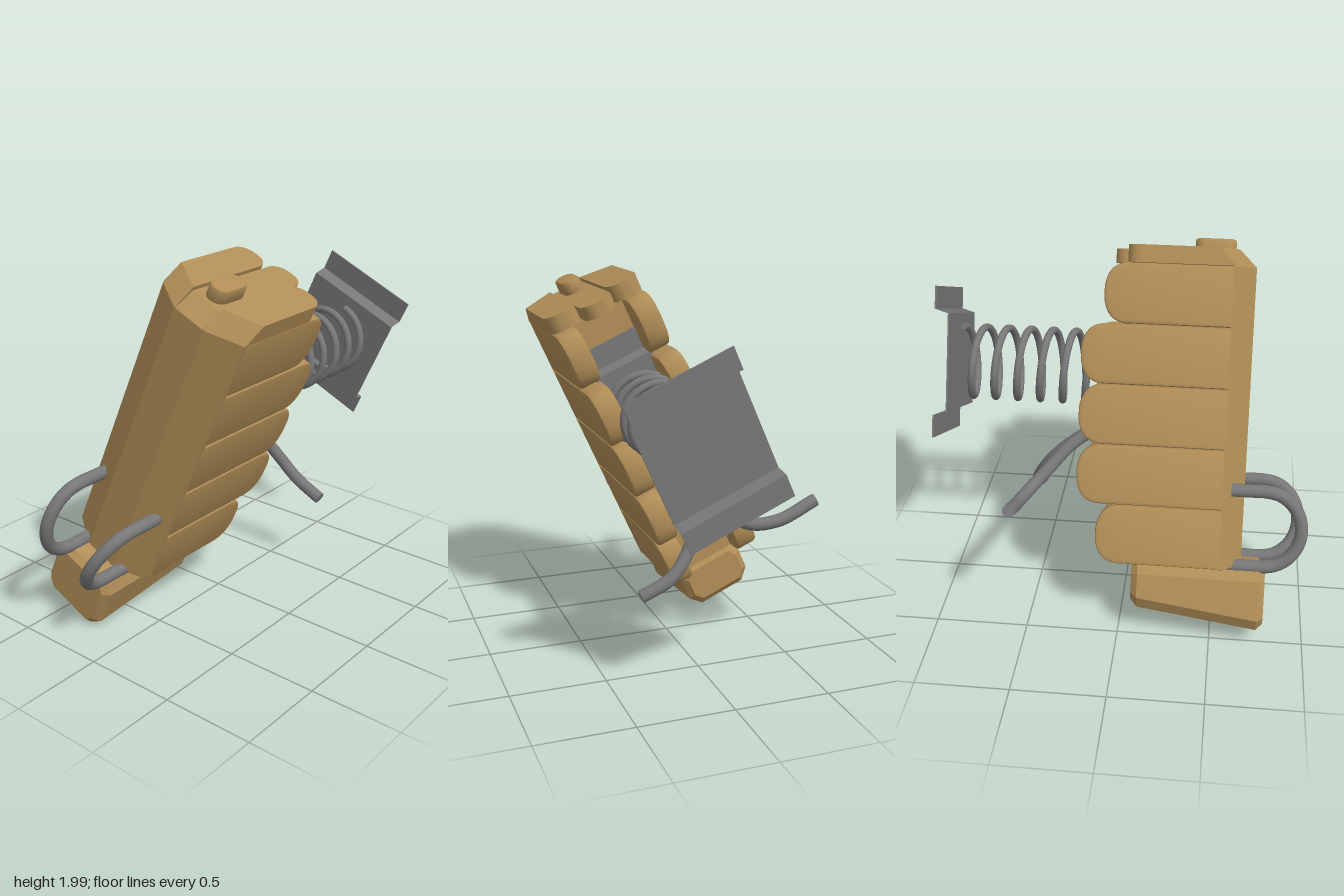
import * as THREE from 'three';
import { toCreasedNormals } from 'three/addons/utils/BufferGeometryUtils.js';

const TAN = new THREE.MeshStandardMaterial({ color: 0xb08d57 });
const STEEL = new THREE.MeshStandardMaterial({ color: 0x777777, side: THREE.DoubleSide });
const V = (x, y, z) => new THREE.Vector3(x, y, z);

function add(parent, name, geometry, material) {
  const mesh = new THREE.Mesh(geometry, material);
  mesh.name = name;
  parent.add(mesh);
  return mesh;
}

function polygon(points) {
  return new THREE.Shape(points.map(([x, y]) => new THREE.Vector2(x, y)));
}

// Extrudes a shape, with an inset bevel that keeps the outline size
function extrude(shape, depth, bevel = 0, segments = 2) {
  return new THREE.ExtrudeGeometry(shape, {
    depth: depth - 2 * bevel, bevelEnabled: bevel > 0, bevelSize: bevel, bevelThickness: bevel,
    bevelOffset: -bevel, bevelSegments: segments, curveSegments: 10,
  }).translate(0, 0, bevel);
}

// Extrudes a (z, y) outline sideways, centred on x
function extrudeSide(shape, width, bevel, x) {
  const g = extrude(shape, width, bevel).rotateY(-Math.PI / 2).translate(x + width / 2, 0, 0);
  return toCreasedNormals(g, 0.6);
}

// Extrudes an (x, -z) outline upwards from y
const extrudeUp = (shape, height, bevel, y) =>
  extrude(shape, height, bevel).rotateX(-Math.PI / 2).translate(0, y, 0);

// Round rod along a curve, with flat ends
function rod(parent, name, curve, radius, segments) {
  const g = new THREE.Group();
  g.name = name;
  add(g, name + 'Bar', new THREE.TubeGeometry(curve, segments, radius, 14), STEEL);
  for (const [t, sign] of [[0, -1], [1, 1]]) {
    const end = add(g, name + 'End', new THREE.CircleGeometry(radius, 14), STEEL);
    end.position.copy(curve.getPointAt(t));
    end.quaternion.setFromUnitVectors(V(0, 0, 1), curve.getTangentAt(t).multiplyScalar(sign));
  }
  parent.add(g);
}

// Side plank with a rounded rear end
function plank(y0, y1, back) {
  const r = 0.125, s = new THREE.Shape();
  s.moveTo(0.55, y0).lineTo(0.55, y1).lineTo(back + r, y1);
  s.quadraticCurveTo(back + 0.015, y1, back, y1 - r);
  s.lineTo(back, y0 + r);
  s.quadraticCurveTo(back + 0.015, y0, back + r, y0);
  return s;
}

// Top block outline, rounded at the rear and cut at the front
function capOutline(x0, x1, front0, front1, back) {
  const r = 0.075, s = new THREE.Shape();
  s.moveTo(x0, -front0).lineTo(x1, -front1).lineTo(x1, -back - r);
  s.absarc(x1 - r, -back - r, r, 0, Math.PI / 2);
  s.absarc(x0 + r, -back - r, r, Math.PI / 2, Math.PI);
  return s;
}

// Sheet bent into a shallow tray: raised middle and two flanges
function tray(width, z, step, y) {
  const side = [[0.395, 0], [0.277, 0], [0.257, step]];
  const line = [...side, ...side.map(([t, d]) => [-t, d]).reverse()];
  const outer = line.map(([t, d]) => [z + d, y + t]);
  const inner = line.map(([t, d]) => [z + d + 0.008, y + t]).reverse();
  return extrudeSide(polygon([...outer, ...inner]), width, 0, 0);
}

export function createModel() {
  const model = new THREE.Group();
  model.name = 'springBlock';

  // Everything in the leaning frame: x across, y along the body
  const lean = new THREE.Group();
  lean.name = 'leaningBody';
  lean.rotation.z = -0.419;
  lean.position.set(-0.37, 0.165, 0);
  model.add(lean);

  // Core between the planks
  add(lean, 'core', new THREE.BoxGeometry(0.4, 1.55, 0.51).translate(0, 1.015, 0.305), TAN);

  // Five planks on each side
  const pitch = 0.314, start = 0.23;
  [-0.12, -0.23, -0.23, -0.23, -0.12].forEach((back, i) => {
    const y0 = start + i * pitch;
    for (const side of [-1, 1]) {
      add(lean, 'sidePlank', extrudeSide(plank(y0 + 0.002, y0 + pitch - 0.002, back), 0.12, 0.016, side * 0.206), TAN);
    }
  });

  // Front slats, the outer two slanting back
  const e = 0.004;
  add(lean, 'frontSlat', extrudeUp(polygon([[-0.092 + e, -0.65], [0.092 - e, -0.65], [0.092 - e, -0.54], [-0.092 + e, -0.54]]), 1.57, 0.004, start), TAN);
  for (const m of [-1, 1]) {
    const pts = [[m * (0.092 + e), -0.65], [m * 0.266, -0.55], [m * 0.266, -0.53], [m * (0.092 + e), -0.53]];
    add(lean, 'cornerSlat', extrudeUp(polygon(m > 0 ? pts : pts.reverse()), 1.57, 0.004, start), TAN);
  }

  // Top blocks, front edge sloped back
  const caps = [
    [capOutline(-0.268, -0.092, 0.55, 0.65, -0.01), 0.09],
    [capOutline(-0.089, 0.089, 0.65, 0.65, -0.09), 0.073],
    [capOutline(0.092, 0.268, 0.65, 0.55, -0.01), 0.09],
  ];
  for (const [outline, height] of caps) {
    const g = extrudeUp(outline, height, 0, 1.8);
    const p = g.attributes.position;
    for (let i = 0; i < p.count; i++) {
      if (p.getZ(i) > 0.5 && p.getY(i) > 1.85) p.setZ(i, p.getZ(i) - 0.09);
    }
    add(lean, 'topBlock', toCreasedNormals(g, 0.6), TAN);
  }

  // Button on the middle top block
  const pill = new THREE.Shape();
  pill.absarc(0, -0.38, 0.055, 0, Math.PI);
  pill.absarc(0, -0.485, 0.055, Math.PI, Math.PI * 2);
  add(lean, 'button', toCreasedNormals(extrudeUp(pill, 0.085, 0.015, 1.86), 0.6), TAN);

  // Foot: bevelled block whose underside rises to the rear
  const foot = extrude(polygon([
    [-0.145, -0.113], [0.145, -0.113], [0.205, -0.05], [0.205, 0.165],
    [0.155, 0.232], [-0.155, 0.232], [-0.205, 0.165], [-0.205, -0.05],
  ]), 0.71, 0.035, 1).translate(0, 0, 0.07);
  const fp = foot.attributes.position;
  for (let i = 0; i < fp.count; i++) {
    const back = (0.78 - fp.getZ(i)) / 0.71;
    if (fp.getY(i) < 0.05) fp.setY(i, fp.getY(i) + 0.09 * back);
    fp.setX(i, fp.getX(i) * (1 - 0.08 * back));
  }
  add(lean, 'foot', toCreasedNormals(foot, 0.3), TAN);

  // Bent sheet plates at both ends of the spring
  add(lean, 'outerPlate', tray(0.565, -0.996, 0.07, 1.243), STEEL);
  add(lean, 'innerPlate', tray(0.34, 0.035, -0.06, 1.243), STEEL);

  // Coil spring
  class Coil extends THREE.Curve {
    getPoint(t, target = V(0, 0, 0)) {
      const a = 0.33 + t * 7.2 * Math.PI * 2;
      return target.set(0.135 + 0.187 * Math.sin(a), 1.3 + 0.187 * Math.cos(a), -0.905 + 0.88 * t);
    }
  }
  rod(model, 'spring', new Coil(), 0.02, 320);

  // Front U-shaped handles
  for (const [a, b] of [[[-0.29, 0.84], [-0.4, 0.435]], [[0.07, 0.68], [-0.155, 0.325]]]) {
    const pts = [V(a[0], a[1], 0.58), V(a[0], a[1], 0.68)];
    for (let i = 0; i <= 8; i++) {
      const w = (1 - Math.cos(i * Math.PI / 8)) / 2;
      pts.push(V(a[0] + (b[0] - a[0]) * w, a[1] + (b[1] - a[1]) * w, 0.76 + 0.195 * Math.sin(i * Math.PI / 8)));
    }
    pts.push(V(b[0], b[1], 0.68), V(b[0], b[1], 0.58));
    rod(model, 'frontHandle', new THREE.CatmullRomCurve3(pts), 0.035, 60);
  }

  // Rear rods bending out to both sides
  const rods = {
    rightRearRod: [[0, 1.03, 0.04], [-0.03, 1.01, -0.15], [-0.07, 0.94, -0.28], [-0.15, 0.84, -0.39],
      [-0.27, 0.76, -0.49], [-0.42, 0.77, -0.53], [-0.63, 0.86, -0.53]],
    leftRearRod: [[0, 1.03, 0.04], [-0.02, 1.01, -0.15], [-0.04, 0.92, -0.3], [-0.02, 0.8, -0.41],
      [0.05, 0.66, -0.49], [0.16, 0.53, -0.53], [0.32, 0.45, -0.53]],
  };
  for (const [name, pts] of Object.entries(rods)) {
    rod(model, name, new THREE.CatmullRomCurve3(pts.map((p) => V(...p))), 0.034, 60);
  }

  return model;
}
